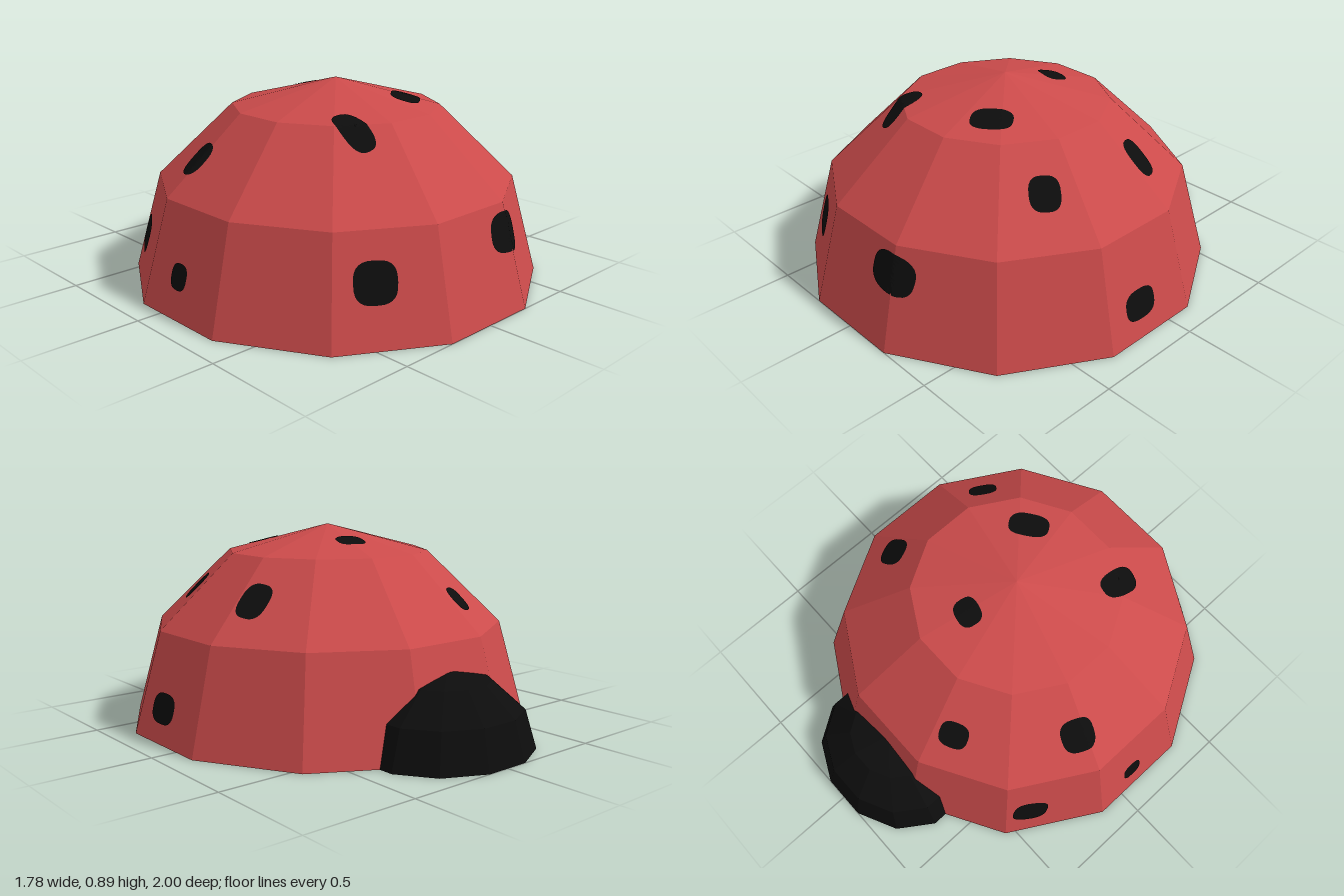
import * as THREE from 'three';

const R = 0.89;            // dome apothem and height
const CENTRE_Z = 0.11;     // dome centre
const RAD = Math.PI / 180;
const CIRCUM = 1 / Math.cos(15 * RAD);

const red = new THREE.MeshStandardMaterial({ color: 0xcc4b4b, side: THREE.DoubleSide });
red.name = 'shell red';
const black = new THREE.MeshStandardMaterial({ color: 0x0d0d0d, side: THREE.DoubleSide });
black.name = 'spot black';

// Open faceted half dome, 30 degrees per column, scaled to its apothem sizes
function domeGeometry(columns, startDeg, sx, sy, sz) {
  const g = new THREE.SphereGeometry(1, columns, 3, startDeg * RAD, columns * 30 * RAD, 0, Math.PI / 2);
  g.scale(sx * CIRCUM, sy, sz * CIRCUM);
  const flat = g.toNonIndexed();
  flat.computeVertexNormals();
  return flat;
}

// Push a point (relative to the dome centre) radially onto the faceted shell
const profile = [0, 30, 60, 90].map(a => [R * Math.cos(a * RAD), R * Math.sin(a * RAD)]);
function ontoShell(p) {
  const az = Math.atan2(p.x, p.z);
  const fold = az - Math.round(az / (30 * RAD)) * 30 * RAD;
  const d = Math.hypot(p.x, p.z) * Math.cos(fold);
  let t = Infinity;
  for (let i = 0; i < 3; i++) {
    const [a, b] = [profile[i], profile[i + 1]];
    const nx = b[1] - a[1], ny = a[0] - b[0];
    t = Math.min(t, (nx * a[0] + ny * a[1]) / (nx * d + ny * p.y));
  }
  return p.clone().multiplyScalar(t);
}

// Rounded spot draped on the shell, with one sheet outside and one inside
function spotGeometry(x, y, z, w, h, tilt) {
  const c = ontoShell(new THREE.Vector3(x, y, z - CENTRE_Z));
  const n = c.clone().normalize();
  const across = new THREE.Vector3(0, 1, 0).cross(n).normalize();
  const up = n.clone().cross(across);
  across.applyAxisAngle(n, -tilt);
  up.applyAxisAngle(n, -tilt);
  const RINGS = 6, SIDES = 28;
  const pos = [], index = [];
  for (const offset of [1.004, 0.996]) {
    const base = pos.length / 3;
    for (let r = 0; r <= RINGS; r++) {
      for (let s = 0; s < SIDES; s++) {
        const a = s / SIDES * Math.PI * 2, k = r / RINGS;
        const round = v => Math.sign(v) * Math.abs(v) ** 0.72;
        const p = c.clone()
          .addScaledVector(across, round(Math.cos(a)) * k * w / 2)
          .addScaledVector(up, round(Math.sin(a)) * k * h / 2);
        pos.push(...ontoShell(p).multiplyScalar(offset).toArray());
        if (r === RINGS) continue;
        const i = base + r * SIDES + s, j = base + r * SIDES + (s + 1) % SIDES;
        if (offset > 1) index.push(i, i + SIDES, j + SIDES, i, j + SIDES, j);
        else index.push(i, j + SIDES, i + SIDES, i, j, j + SIDES);
      }
    }
  }
  const g = new THREE.BufferGeometry();
  g.setAttribute('position', new THREE.Float32BufferAttribute(pos, 3));
  g.setIndex(index);
  const flat = g.toNonIndexed();
  flat.computeVertexNormals();
  return flat;
}

export function createModel() {
  const model = new THREE.Group();
  const add = (name, geometry, material, z) => {
    const mesh = new THREE.Mesh(geometry, material);
    mesh.name = name;
    mesh.position.z = z;
    model.add(mesh);
  };

  // Hollow shell and the small head dome at the back
  add('shell', domeGeometry(12, 15, R, R, R), red, CENTRE_Z);
  add('head', domeGeometry(7, 165, 0.39, 0.335, 0.33), black, -0.67);

  // Spots: x, y, z, width, height, tilt
  const spots = [
    [0.20, 0.32, 0.90, 0.22, 0.17, 0.15],
    [-0.455, 0.25, 0.795, 0.175, 0.17, 0],
    [0.85, 0.145, 0.155, 0.17, 0.13, 0],
    [-0.67, 0.19, -0.405, 0.16, 0.16, 0.2],
    [-0.845, 0.17, 0.08, 0.10, 0.11, 0],
    [0.53, 0.616, 0.39, 0.13, 0.15, 0.1],
    [0.57, 0.606, -0.12, 0.13, 0.18, 0.1],
    [-0.61, 0.587, -0.09, 0.15, 0.17, 0],
    [-0.25, 0.579, -0.48, 0.13, 0.13, 0],
    [-0.26, 0.74, 0.48, 0.12, 0.23, -0.47],
    [0.185, 0.808, 0.355, 0.18, 0.13, 0],
    [0.055, 0.828, -0.12, 0.13, 0.11, 0],
  ];
  spots.forEach((s, i) => add(`spot${i + 1}`, spotGeometry(...s), black, CENTRE_Z));
  return model;
}
